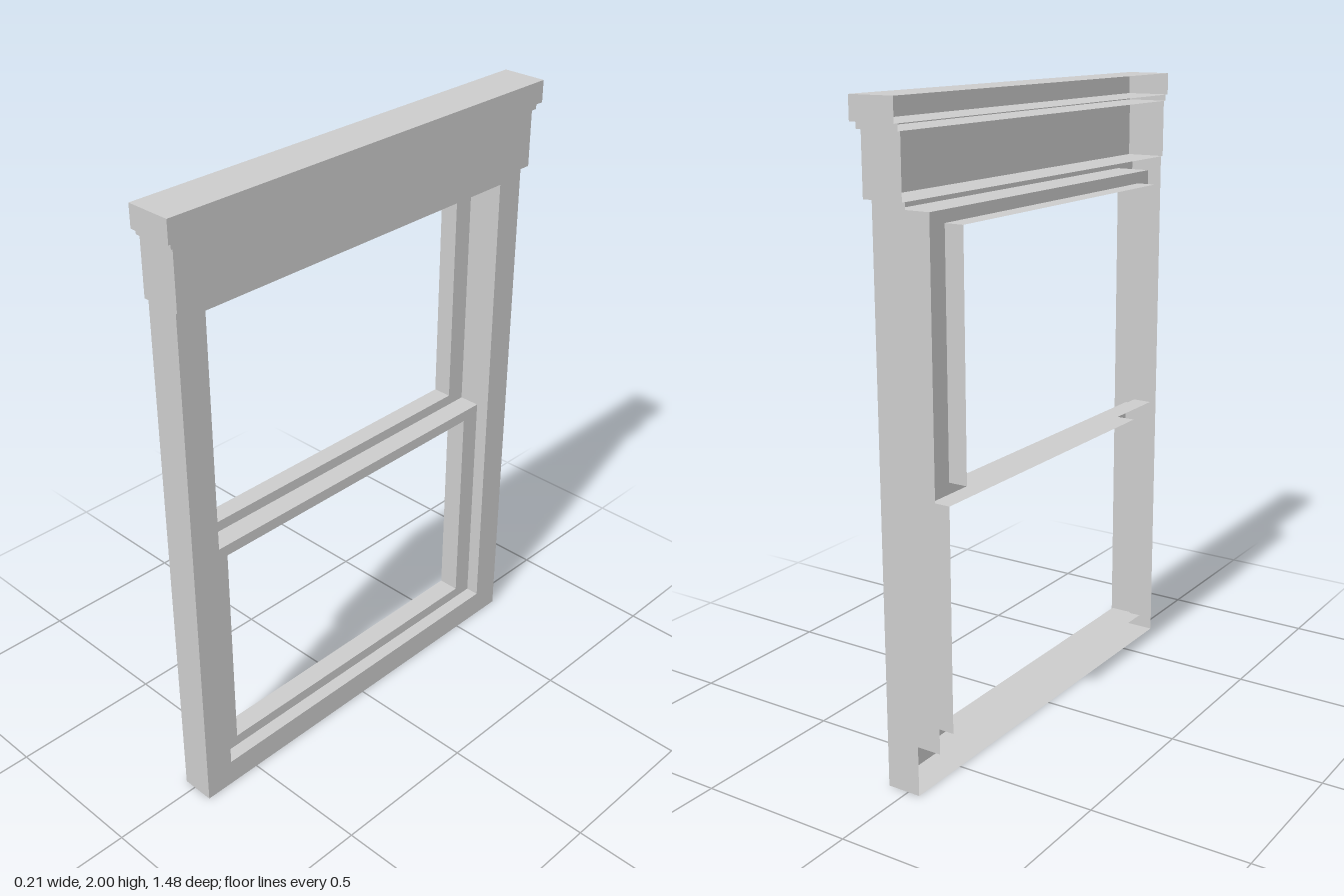
import * as THREE from 'three';
import { mergeGeometries } from 'three/addons/utils/BufferGeometryUtils.js';

const material = new THREE.MeshStandardMaterial({
  color: 0xcccccc, flatShading: true, side: THREE.DoubleSide,
});

// Rectangles are { w: half width along z, b: bottom, t: top }.
const corners = ({ w, b, t }) => [[-w, b], [w, b], [w, t], [-w, t]].map(p => new THREE.Vector2(...p));

// Flat panel facing +x, with an optional rectangular hole
function panel(x, outer, hole) {
  const shape = new THREE.Shape(corners(outer));
  if (hole) shape.holes.push(new THREE.Path(corners(hole).reverse()));
  return new THREE.ShapeGeometry(shape).rotateY(Math.PI / 2).translate(x, 0, 0);
}

// Walls running along x around a rectangle; facing outwards, or inwards for a reveal
function sleeve({ w, b, t }, x0, x1, { top = true, bottom = true, sides = true, inward = false } = {}) {
  const d = x1 - x0, cx = (x0 + x1) / 2, s = inward ? -1 : 1, parts = [];
  const level = (y, up) => parts.push(
    new THREE.PlaneGeometry(d, 2 * w).rotateX(-up * Math.PI / 2).translate(cx, y, 0));
  if (top) level(t, s);
  if (bottom) level(b, -s);
  if (sides) for (const e of [1, -1]) {
    parts.push(new THREE.PlaneGeometry(d, t - b)
      .rotateY(e * s > 0 ? 0 : Math.PI).translate(cx, (b + t) / 2, e * w));
  }
  return mergeGeometries(parts);
}

function part(name, ...geometries) {
  const mesh = new THREE.Mesh(mergeGeometries(geometries), material);
  mesh.name = name;
  return mesh;
}

export function createModel() {
  const model = new THREE.Group();
  model.name = 'sashWindow';
  const back = -0.04, sashBack = -0.045;

  // Outer casing, hollow at the back, with a reveal around the opening
  const casing = { w: 0.704, b: 0, t: 1.727 };
  const opening = { w: 0.606, b: 0.09, t: 1.69 };
  model.add(part('casing',
    panel(0.07, casing, opening),
    sleeve(casing, back, 0.07, { top: false }),
    sleeve(opening, sashBack, 0.07, { inward: true })));

  // Stepped head above the casing: open-backed tiers, each wider than the last
  const tiers = [
    ['headBoard', { w: 0.716, b: 1.727, t: 1.91 }, 0.09],
    ['headMoulding', { w: 0.727, b: 1.91, t: 1.93 }, 0.097],
    ['headCap', { w: 0.742, b: 1.93, t: 2 }, 0.107],
  ];
  for (const [name, rect, front] of tiers) {
    model.add(part(name, panel(front, rect), sleeve(rect, back, front, { top: name === 'headCap' })));
  }

  // Upper sash, set back, with its reveal projecting behind
  const upper = { w: 0.606, b: 0.88, t: 1.69 };
  const upperPane = { w: 0.538, b: 0.915, t: 1.653 };
  model.add(part('upperSash',
    panel(sashBack, upper, upperPane),
    sleeve(upperPane, -0.107, sashBack, { inward: true })));

  // Lower sash, set forward, with a ledge on top of its meeting rail
  const lower = { w: 0.606, b: 0.09, t: 0.88 };
  const lowerPane = { w: 0.538, b: 0.127, t: 0.843 };
  model.add(part('lowerSash',
    panel(0.025, lower, lowerPane),
    sleeve(lower, sashBack, 0.025, { bottom: false, sides: false }),
    sleeve(lowerPane, sashBack, 0.025, { inward: true })));

  return model;
}
